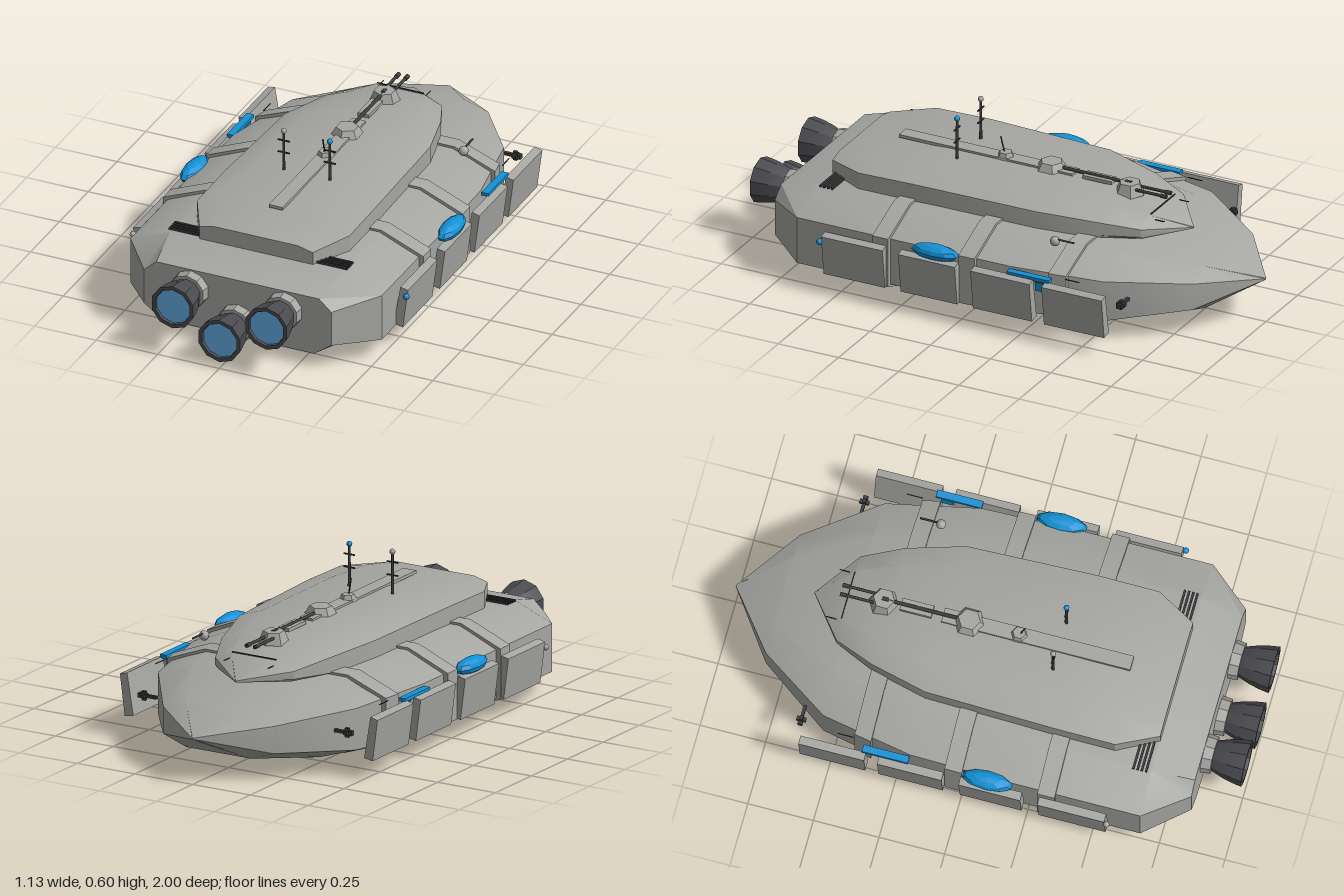
import * as THREE from 'three';
import { toCreasedNormals } from 'three/addons/utils/BufferGeometryUtils.js';

const paint = (name, color, extra = {}) => {
  const m = new THREE.MeshStandardMaterial({ color, ...extra });
  m.name = name;
  return m;
};

// Eight-sided loft along -z; each row: [z, halfWidth, topHalf, bottomHalf, yBottom, yLow, yHigh, yTop]
function loft(rows) {
  const pos = [], idx = [], n = 8;
  for (const [z, w, wt, wb, yb, yl, yh, yt] of rows) {
    const ring = [[w, yl], [w, yh], [wt, yt], [-wt, yt], [-w, yh], [-w, yl], [-wb, yb], [wb, yb]];
    ring.forEach(([x, y]) => pos.push(x, y, z));
  }
  for (let i = 0; i < rows.length - 1; i++) {
    for (let j = 0; j < n; j++) {
      const a = i * n + j, b = i * n + (j + 1) % n;
      idx.push(a, a + n, b, b, a + n, b + n);
    }
  }
  const e = (rows.length - 1) * n;
  for (let j = 1; j < n - 1; j++) idx.push(0, j, j + 1, e, e + j + 1, e + j);
  const g = new THREE.BufferGeometry();
  g.setAttribute('position', new THREE.Float32BufferAttribute(pos, 3));
  g.setIndex(idx);
  return toCreasedNormals(g, 0.42);
}

const hullRows = [
  [0.84, 0.38, 0.33, 0.31, 0.055, 0.105, 0.245, 0.29],
  [0.68, 0.51, 0.35, 0.33, 0.02, 0.08, 0.265, 0.33],
  [0.2, 0.51, 0.35, 0.33, 0.018, 0.08, 0.265, 0.333],
  [-0.2, 0.50, 0.34, 0.32, 0.018, 0.08, 0.26, 0.328],
  [-0.55, 0.43, 0.28, 0.27, 0.032, 0.085, 0.245, 0.30],
  [-0.82, 0.24, 0.14, 0.14, 0.075, 0.11, 0.215, 0.245],
  [-1.0, 0.002, 0.001, 0.001, 0.172, 0.174, 0.176, 0.178],
];

// Hull row interpolated at z, used to fit the bands
function rowAt(z) {
  const i = hullRows.findIndex((r, k) => k > 0 && z >= r[0]);
  const a = hullRows[i - 1], b = hullRows[i], t = (z - a[0]) / (b[0] - a[0]);
  return a.map((v, k) => v + (b[k] - v) * t);
}

export function createModel() {
  const model = new THREE.Group();
  model.name = 'spaceship';
  const grey = paint('hull grey', 0xa6a6a3);
  const dark = paint('dark metal', 0x3c3c3e);
  const bell = paint('engine metal', 0x4b4b50, { side: THREE.DoubleSide });
  const glow = paint('engine glow', 0x64aee4);
  const blue = paint('bright blue', 0x1192d6);
  const add = (name, geo, mat, x = 0, y = 0, z = 0, parent = model) => {
    const m = new THREE.Mesh(geo, mat);
    m.name = name;
    m.position.set(x, y, z);
    parent.add(m);
    return m;
  };
  const box = (name, w, h, d, mat, x, y, z, parent) =>
    add(name, new THREE.BoxGeometry(w, h, d), mat, x, y, z, parent);
  const flat = (g) => toCreasedNormals(g, 0.2);

  // Main hull and upper deck
  add('hull', loft(hullRows), grey);
  add('upperDeck', loft([
    [0.68, 0.23, 0.17, 0.23, 0.32, 0.325, 0.38, 0.395],
    [0.53, 0.31, 0.20, 0.31, 0.32, 0.325, 0.395, 0.415],
    [0.3, 0.31, 0.205, 0.31, 0.32, 0.325, 0.40, 0.428],
    [-0.2, 0.295, 0.20, 0.295, 0.32, 0.325, 0.395, 0.428],
    [-0.42, 0.235, 0.15, 0.235, 0.315, 0.322, 0.375, 0.408],
    [-0.57, 0.17, 0.10, 0.16, 0.31, 0.32, 0.35, 0.38],
    [-0.70, 0.002, 0.001, 0.001, 0.314, 0.316, 0.318, 0.32],
  ]), grey);
  box('deckStrip', 0.056, 0.012, 0.72, grey, 0, 0.43, 0.15);

  // Raised bands around the hull
  for (const zc of [0.325, -0.03, -0.385]) {
    const rows = [zc + 0.033, zc - 0.033].map((z) => {
      const [, w, wt, wb, yb, yl, yh, yt] = rowAt(z);
      return [z, w + 0.018, wt + 0.008, wb + 0.005, yb - 0.009, yl - 0.004, yh + 0.006, yt + 0.009];
    });
    add('hullBand', loft(rows), grey);
  }

  for (const s of [1, -1]) {
    // Slanted armour plates
    for (const [z0, z1] of [[0.3, 0.555], [0, 0.235], [-0.31, -0.065], [-0.61, -0.36]]) {
      const shape = new THREE.Shape(
        [[0.5, 0.082], [0.537, 0.075], [0.558, 0.235], [0.527, 0.243]].map(([x, y]) => new THREE.Vector2(s * x, y)));
      add('armourPlate', new THREE.ExtrudeGeometry(shape, { depth: z1 - z0, bevelEnabled: false }), grey, 0, 0, z0);
    }
    // Side blisters, light strips and side windows
    const dome = add('sideBlister', flat(new THREE.SphereGeometry(1, 10, 6)), blue, s * 0.522, 0.26, 0.1);
    dome.scale.set(0.038, 0.03, 0.098);
    box('lightStrip', 0.028, 0.014, 0.175, blue, s * 0.517, 0.246, -0.288);
    box('sideWindow', 0.008, 0.04, 0.045, blue, s * 0.51, 0.212, -0.333);
    box('sideLouvre', 0.012, 0.012, 0.045, dark, s * 0.512, 0.233, -0.333);
    add('marker', new THREE.SphereGeometry(0.012, 10, 8), s > 0 ? blue : grey, s * 0.555, 0.212, 0.563);

    // Rear deck vents
    for (let i = 0; i < 4; i++) box('ventSlat', 0.13, 0.008, 0.008, dark, s * 0.297, 0.334, 0.613 + i * 0.016);

    // Manoeuvring thrusters
    box('thrusterArm', 0.05, 0.012, 0.012, dark, s * 0.41, 0.175, -0.63);
    box('thrusterCross', 0.016, 0.036, 0.012, dark, s * 0.44, 0.175, -0.63);
    box('thrusterCross', 0.016, 0.012, 0.036, dark, s * 0.44, 0.175, -0.63);
    box('thrusterTip', 0.012, 0.018, 0.018, dark, s * 0.457, 0.175, -0.63);
    box('whisker', 0.003, 0.003, 0.06, dark, s * 0.485, 0.25, -0.45);

    // Masts with rungs and a ball
    const x = s > 0 ? 0.091 : -0.096;
    add('mast', new THREE.CylinderGeometry(0.005, 0.006, 0.165, 8), dark, x, 0.505, 0.235);
    for (const y of [0.5, 0.55]) box('mastRung', 0.048, 0.005, 0.005, dark, x, y, 0.235);
    add('mastBall', new THREE.SphereGeometry(0.011, 10, 8), s > 0 ? blue : grey, x, 0.59, 0.235);
  }

  // Engines: collar, flared bell and glowing disc
  for (const [x, y] of [[-0.19, 0.212], [0.19, 0.212], [0, 0.115]]) {
    const engine = new THREE.Group();
    engine.name = 'engine';
    engine.position.set(x, y, 0);
    model.add(engine);
    const collar = new THREE.CylinderGeometry(0.07, 0.075, 0.05, 10).rotateX(Math.PI / 2);
    add('engineCollar', flat(collar), grey, 0, 0, 0.852, engine);
    const profile = [[0.05, 0.86], [0.06, 0.885], [0.074, 0.925], [0.083, 0.965], [0.088, 1], [0.073, 1], [0.071, 0.985]];
    const nozzle = new THREE.LatheGeometry(profile.map(([r, h]) => new THREE.Vector2(r, h)), 10).rotateX(Math.PI / 2);
    add('engineBell', flat(nozzle), bell, 0, 0, 0, engine);
    add('engineGlow', new THREE.CircleGeometry(0.075, 10).rotateZ(Math.PI / 2), glow, 0, 0, 0.988, engine);
  }

  // Deck turrets: tapered hexagonal housings with forward barrels
  const turret = (x, y, z, r, h) => {
    const g = new THREE.Group();
    g.name = 'turret';
    g.position.set(x, y, z);
    model.add(g);
    add('turretHousing', flat(new THREE.CylinderGeometry(r * 0.7, r, h, 6)), grey, 0, h / 2, 0, g);
    return g;
  };
  const barrel = (g, x, y, z, len, r) => {
    add('barrel', new THREE.CylinderGeometry(r, r, len, 8).rotateX(Math.PI / 2), dark, x, y, z - len / 2, g);
    add('muzzle', new THREE.CylinderGeometry(r * 1.4, r * 1.4, 0.025, 8).rotateX(Math.PI / 2), dark, x, y, z - len, g);
  };
  const bow = turret(0, 0.4, -0.435, 0.058, 0.045);
  for (const x of [-0.018, 0.018]) barrel(bow, x, 0.026, -0.03, 0.12, 0.006);
  const mid = turret(0, 0.427, -0.11, 0.06, 0.03);
  barrel(mid, 0, 0.012, -0.03, 0.29, 0.007);
  box('barrelSleeve', 0.046, 0.014, 0.12, grey, 0, 0.005, -0.2, mid);
  const aft = turret(0, 0.427, 0.08, 0.035, 0.025);
  const whip = add('whipAntenna', new THREE.CylinderGeometry(0.003, 0.003, 0.075, 6), dark, 0, 0.045, 0.012, aft);
  whip.rotation.x = 0.25;

  // Small offset gun dome
  add('gunDome', new THREE.SphereGeometry(0.019, 10, 8), grey, 0.374, 0.336, -0.32);
  add('gunDomeBarrel', new THREE.CylinderGeometry(0.004, 0.004, 0.08, 6).rotateX(Math.PI / 2), dark, 0.374, 0.345, -0.36);

  // Bow sensor bar
  box('sensorBar', 0.19, 0.004, 0.004, dark, 0, 0.384, -0.572);
  for (const x of [-0.095, 0.095]) box('sensorProng', 0.003, 0.003, 0.05, dark, x, 0.365, -0.605);

  // Underside sensors
  for (const [x, z] of [[0.055, -0.01], [-0.095, 0.315]]) {
    box('bellySensor', 0.05, 0.01, 0.014, dark, x, 0.006, z);
    box('bellySensor', 0.014, 0.012, 0.045, dark, x, 0.006, z);
  }
  return model;
}
